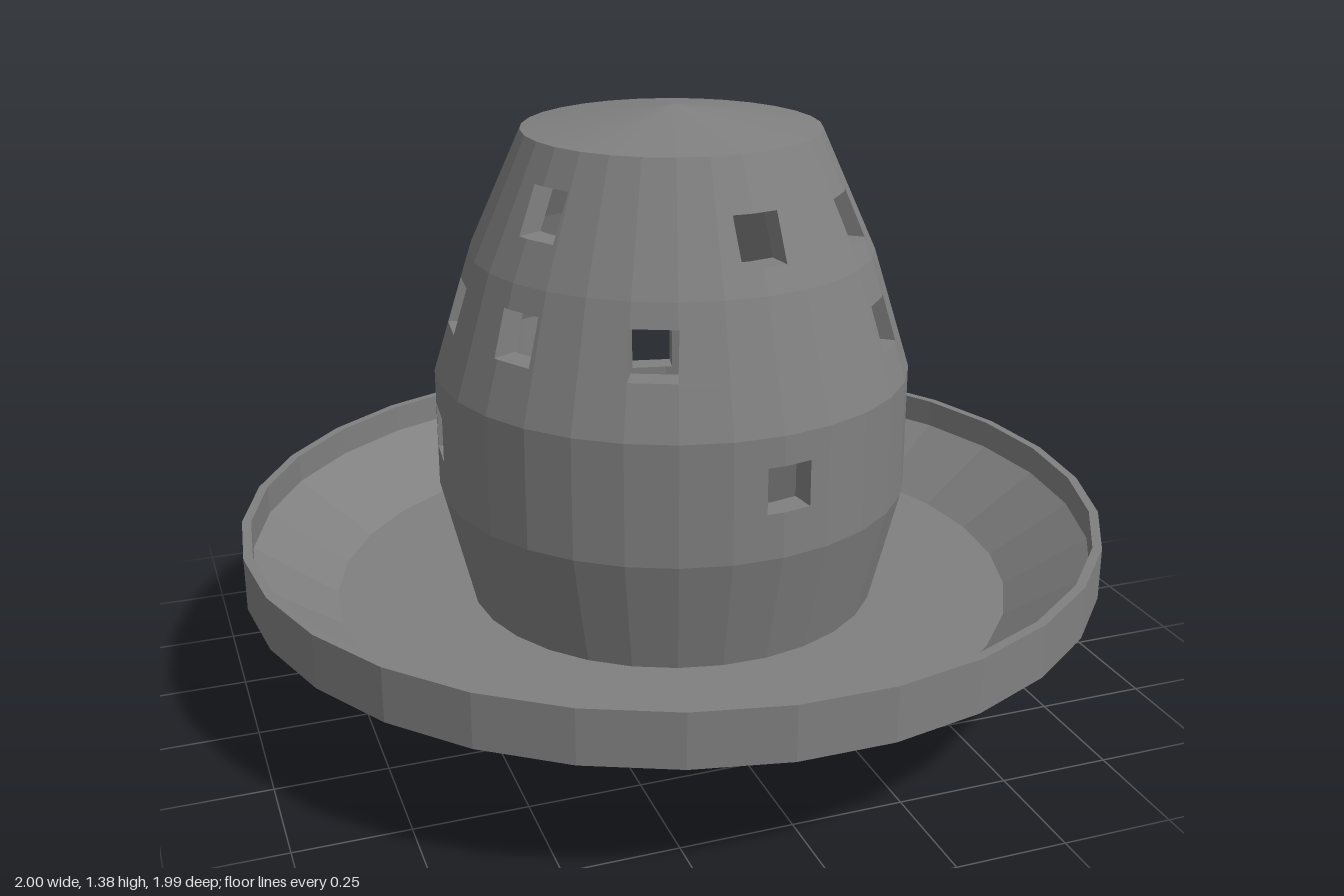
import * as THREE from 'three';

const SIDES = 30;
const STEP = (2 * Math.PI) / SIDES;
const FULL = 2 * Math.PI;
const WALL = 0.06;
const HALF = 0.052; // half the size of a window
const material = new THREE.MeshStandardMaterial({ color: 0x808080, flatShading: true });

// Outer profile of the pot: [radius, height]
const PROFILE = [[0.478, 0.243], [0.543, 0.51], [0.543, 0.785], [0.457, 1.06], [0.335, 1.33]];

// Windows: [angle in degrees from +x towards +z, height of the centre]
const WINDOWS = [
  [0, 0.666], [82.5, 0.666], [185.6, 0.655], [283.7, 0.655],
  [0, 0.955], [39.7, 0.925], [114, 0.955], [151.4, 0.955], [186.4, 0.95], [217.7, 0.925],
  [39.6, 1.155], [83, 1.165], [152.8, 1.2], [216.7, 1.152], [283.7, 1.15],
].map(([deg, y]) => ({
  y,
  a: THREE.MathUtils.degToRad(deg),
  half: Math.asin(HALF / profileRadius(y)),
}));

function profileRadius(y) {
  for (let i = 1; i < PROFILE.length; i++) {
    const [r0, y0] = PROFILE[i - 1], [r1, y1] = PROFILE[i];
    if (y <= y1) return r0 + ((r1 - r0) * (y - y0)) / (y1 - y0);
  }
  return PROFILE[PROFILE.length - 1][0];
}

// Signed angle from b to a, between -PI and PI
function angleBetween(a, b) {
  return THREE.MathUtils.euclideanModulo(a - b + Math.PI, FULL) - Math.PI;
}

// Point on the many-sided wall, moved inwards by inset; window edges keep their sides parallel
function wallPoint(a, y, inset) {
  const radius = profileRadius(y) - inset;
  const w = WINDOWS.find((v) => Math.abs(y - v.y) < HALF + 1e-4
    && Math.abs(Math.abs(angleBetween(a, v.a)) - v.half) < 1e-4);
  const angle = w ? w.a + Math.sign(angleBetween(a, w.a)) * Math.asin(HALF / radius) : a;
  const local = THREE.MathUtils.euclideanModulo(angle + 1e-9, STEP) - STEP / 2;
  const r = (radius * Math.cos(STEP / 2)) / Math.cos(local);
  return [r * Math.cos(angle), y, r * Math.sin(angle)];
}

function sortedUnique(values) {
  return values.sort((a, b) => a - b).filter((v, i, all) => i === 0 || v - all[i - 1] > 1e-5);
}

function quadMesh(name, quads) {
  const positions = quads.flatMap(([a, b, c, d]) => [a, b, c, a, c, d].flat());
  const geometry = new THREE.BufferGeometry();
  geometry.setAttribute('position', new THREE.Float32BufferAttribute(positions, 3));
  geometry.computeVertexNormals();
  return named(name, geometry);
}

function named(name, geometry) {
  const mesh = new THREE.Mesh(geometry, material);
  mesh.name = name;
  return mesh;
}

// Hollow wall on a grid that follows the facets and the window edges
function createPot() {
  const as = sortedUnique([
    ...Array.from({ length: SIDES + 1 }, (_, i) => i * STEP),
    ...WINDOWS.flatMap((w) => [w.a - w.half, w.a + w.half].map((a) => (a + FULL) % FULL)),
  ]);
  const ys = sortedUnique([
    ...PROFILE.map((p) => p[1]),
    ...WINDOWS.flatMap((w) => [w.y - HALF, w.y + HALF]),
  ]);
  const columns = as.length - 1;

  const isOpen = (i, j) => {
    const k = (i + columns) % columns;
    const a = (as[k] + as[k + 1]) / 2, y = (ys[j] + ys[j + 1]) / 2;
    return WINDOWS.some((w) => Math.abs(y - w.y) < HALF && Math.abs(angleBetween(a, w.a)) < w.half);
  };

  const outer = [], inner = [], reveals = [];
  for (let i = 0; i < columns; i++) {
    for (let j = 0; j < ys.length - 1; j++) {
      const corners = [[as[i], ys[j]], [as[i], ys[j + 1]], [as[i + 1], ys[j + 1]], [as[i + 1], ys[j]]];
      const out = corners.map(([a, y]) => wallPoint(a, y, 0));
      const inn = corners.map(([a, y]) => wallPoint(a, y, WALL));
      if (!isOpen(i, j)) {
        outer.push(out);
        inner.push(inn.reverse());
        continue;
      }
      // Line the opening wherever the next cell is solid
      const neighbours = [[i - 1, j], [i, j + 1], [i + 1, j], [i, j - 1]];
      neighbours.forEach(([ni, nj], k) => {
        const n = (k + 1) % 4;
        if (!isOpen(ni, nj)) reveals.push([out[n], inn[n], inn[k], out[k]]);
      });
    }
  }

  const pot = new THREE.Group();
  pot.name = 'pot';
  pot.add(quadMesh('outerWall', outer), quadMesh('innerWall', inner), quadMesh('windowReveals', reveals));

  // Shallow conical lid
  const lid = named('lid', new THREE.ConeGeometry(0.335, 0.048, SIDES).rotateY(Math.PI / 2));
  lid.position.y = 1.33 + 0.024;
  pot.add(lid);
  return pot;
}

export function createModel() {
  const model = new THREE.Group();
  model.name = 'planter';

  // Round foot under the saucer
  const foot = named('foot', new THREE.CylinderGeometry(0.483, 0.483, 0.195, SIDES).rotateY(Math.PI / 2));
  foot.position.y = 0.0975;

  // Dished saucer with an upright rim
  const section = [
    [0, 0.193], [0.795, 0.193], [0.982, 0.313], [1, 0.313], [1, 0.435],
    [0.979, 0.435], [0.979, 0.367], [0.793, 0.243], [0, 0.243],
  ].map(([r, y]) => new THREE.Vector2(r, y));
  const saucer = named('saucer', new THREE.LatheGeometry(section, SIDES).rotateY(Math.PI / 2));

  model.add(foot, saucer, createPot());
  return model;
}
